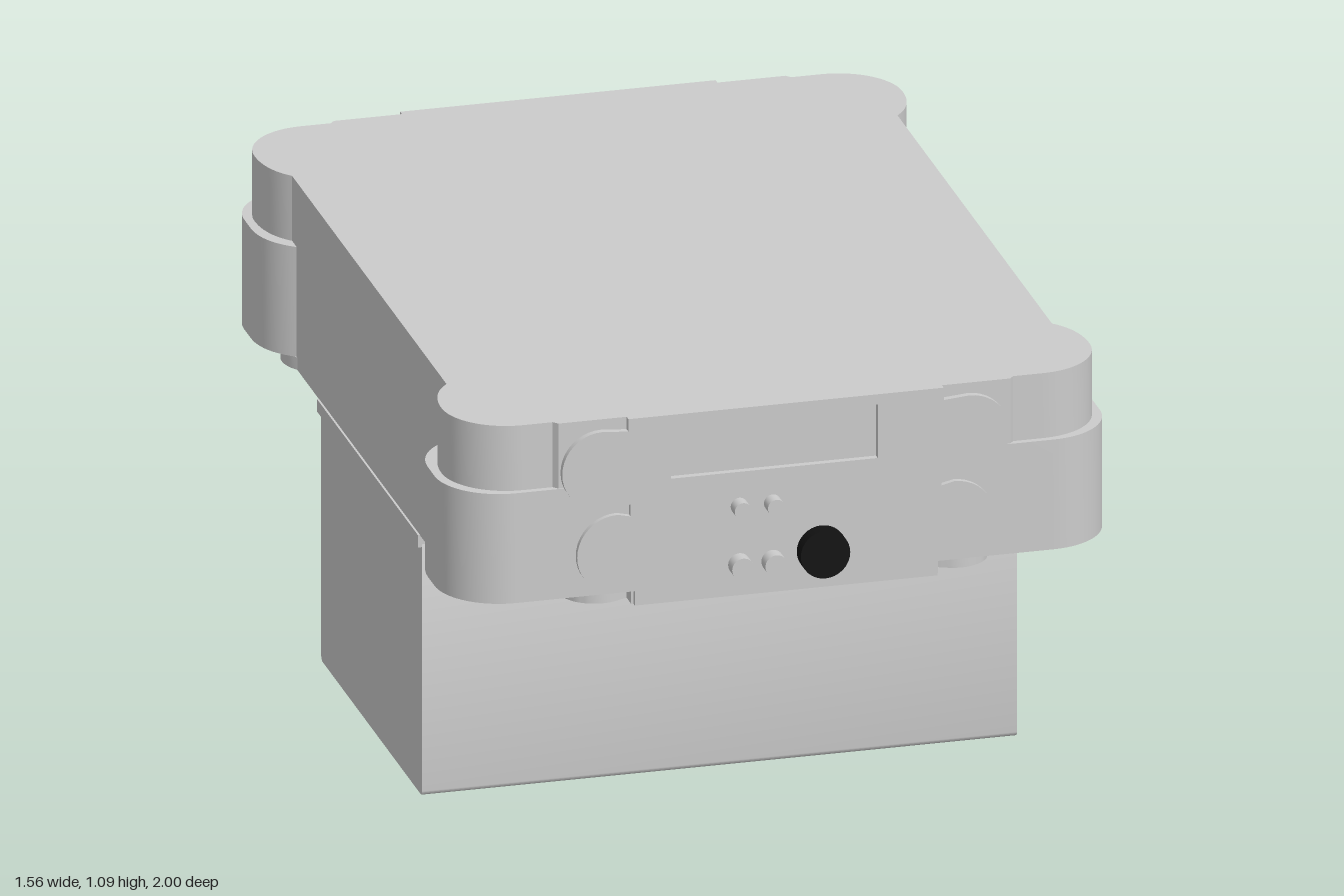
import * as THREE from 'three';
import { toCreasedNormals } from 'three/addons/utils/BufferGeometryUtils.js';

const MID_Z = -0.0175; // middle of the housing front to back
const BASE = 0.635, TOP = 1.09;

const arc = (cx, cy, r, a0, a1, n = 20) => Array.from({ length: n + 1 }, (_, i) => {
  const a = a0 + (a1 - a0) * i / n;
  return [cx + r * Math.cos(a), cy + r * Math.sin(a)];
});

const toShape = pts => new THREE.Shape(pts.map(p => new THREE.Vector2(p[0], p[1])));
const mirrorX = pts => [...pts, ...pts.map(([x, y]) => [-x, y]).reverse()];
const mirrorXY = pts => {
  const half = mirrorX(pts);
  return [...half, ...half.map(([x, y]) => [x, -y]).reverse()];
};
const extrude = (shape, depth) => toCreasedNormals(
  new THREE.ExtrudeGeometry(shape, { depth, bevelEnabled: false }), 0.5);

export function createModel() {
  const group = new THREE.Group();
  const grey = new THREE.MeshStandardMaterial({ color: 0xcccccc });
  const black = new THREE.MeshStandardMaterial({ color: 0x111111 });
  const add = (name, geometry, parent = group, material = grey) => {
    const mesh = new THREE.Mesh(geometry, material);
    mesh.name = name;
    parent.add(mesh);
    return mesh;
  };

  // Horizontal slab from one quarter of its outline, side to front
  const slab = (name, quarter, y0, y1) => {
    const geometry = extrude(toShape(mirrorXY(quarter)), y1 - y0);
    geometry.rotateX(-Math.PI / 2).translate(0, y0, MID_Z);
    return add(name, geometry);
  };

  // Quarter outline with a corner bulging past the flat side
  const bulge = (x, z, start) => [
    ...new THREE.QuadraticBezierCurve(
      new THREE.Vector2(0.71, start),
      new THREE.Vector2(x, start + 0.05),
      new THREE.Vector2(x, start + 0.14)).getPoints(12).map(p => [p.x, p.y]),
    ...arc(x - 0.15, z - 0.15, 0.15, 0, Math.PI / 2),
  ];

  // Housing: base plate with rounded tabs, lower bumpers, narrower top
  slab('basePlate', [
    ...arc(0.63, 0.68, 0.1, -0.6435, 2.2),
    [0.52, 0.7], [0.49, 0.74],
    ...arc(0.42, 0.87, 0.08, -0.6, 1.9),
    [0.36, 0.93], [0.36, 0.97],
  ], BASE, 0.665);
  slab('bumperBody', bulge(0.78, 0.97, 0.625), 0.665, 0.932);
  slab('upperBody', [
    ...bulge(0.76, 0.955, 0.665), [0.54, 0.955], [0.53, 0.967],
  ], 0.932, TOP);

  // Front and back panels with interlocking tabs
  const panelShape = () => toShape(mirrorX([
    [0.355, BASE], [0.355, 0.67],
    ...arc(0.395, 0.765, 0.095, -Math.PI / 2, Math.PI / 2),
    [0.365, 0.853], [0.365, 0.882],
    ...arc(0.43, 0.97, 0.095, -Math.PI / 2, Math.PI / 2),
    [0.37, 1.06], [0.37, TOP],
  ]));
  const frontShape = panelShape();
  // Recessed display window
  frontShape.holes.push(new THREE.Path([
    [-0.27, 0.935], [-0.27, 1.065], [0.215, 1.065], [0.215, 0.935],
  ].map(p => new THREE.Vector2(...p))));
  add('frontPanel', extrude(frontShape, 0.03)).position.z = 0.935;
  const back = add('backPanel', extrude(panelShape(), 0.03));
  back.rotation.y = Math.PI;
  back.position.z = -0.97;

  // Buttons and knob
  const controls = new THREE.Group();
  controls.name = 'controls';
  group.add(controls);
  const peg = (name, x, y, r, material) => {
    const geometry = new THREE.CylinderGeometry(r, r, 0.05, 32).rotateX(Math.PI / 2);
    add(name, geometry, controls, material).position.set(x, y, 0.975);
  };
  for (const x of [-0.11, -0.032]) {
    peg('smallButton', x, 0.852, 0.02, grey);
    peg('largeButton', x, 0.711, 0.026, grey);
  }
  peg('knob', 0.083, 0.727, 0.058, black);

  // Lower block, its long edges slightly rounded
  const r = 0.012, hz = 0.435, h = 0.625;
  const profile = [
    ...arc(hz - r, r, r, -Math.PI / 2, 0, 6),
    ...arc(hz - r, h - r, r, 0, Math.PI / 2, 6),
  ];
  const block = extrude(toShape(mirrorX(profile)), 1.395);
  block.rotateY(Math.PI / 2).translate(-0.705, 0, -0.015);
  add('lowerBlock', block);

  // Mounting flange between block and housing
  add('mountFlange', new THREE.BoxGeometry(1.405, 0.03, 0.87)).position.set(-0.0125, 0.621, -0.015);

  return group;
}
